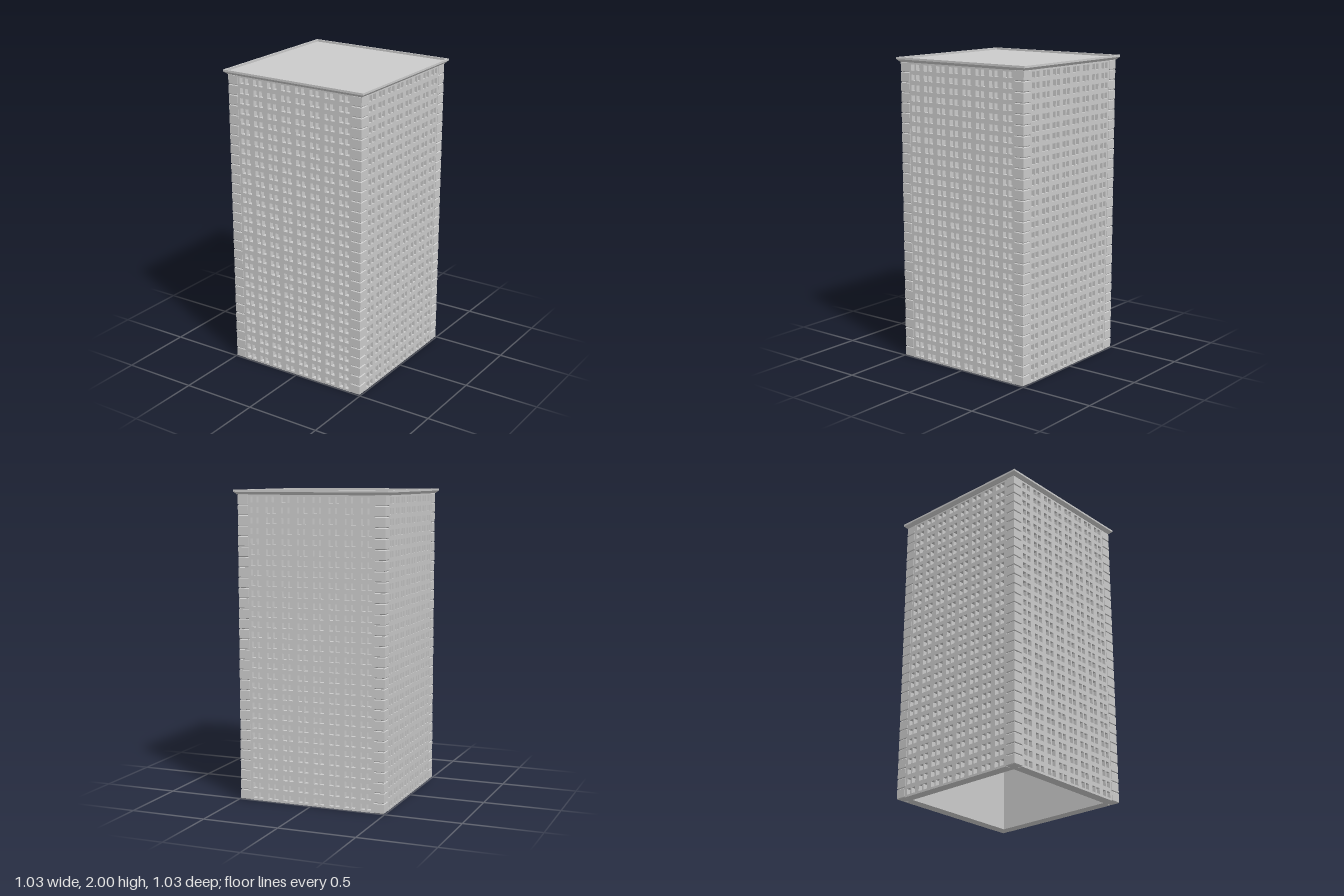
import * as THREE from 'three';
import { mergeGeometries } from 'three/addons/utils/BufferGeometryUtils.js';

const FLOORS = 30, TOP = 1.972, PITCH = TOP / FLOORS;
const OUT = 0.495, POST = 0.07, INNER = OUT - POST, BACK = 0.462;
const BAYS = 8;

const material = new THREE.MeshStandardMaterial({ color: 0xcccccc, flatShading: true, side: THREE.DoubleSide });

function rect(Type, x0, y0, x1, y1) {
  return new Type([[x0, y0], [x1, y0], [x1, y1], [x0, y1]].map(([x, y]) => new THREE.Vector2(x, y)));
}

// Repeats one storey's geometry up the whole height
function stack(geometry) {
  const copies = [];
  for (let i = 0; i < FLOORS; i++) copies.push(geometry.clone().translate(0, i * PITCH, 0));
  return mergeGeometries(copies);
}

// One storey of a facade: paired window openings in a thin panel
function storeyPanel() {
  const shape = rect(THREE.Shape, -INNER, 0, INNER, PITCH);
  const bay = 2 * INNER / BAYS;
  for (let i = 0; i < BAYS; i++) {
    const mid = -INNER + (i + 0.5) * bay;
    for (const s of [-1, 1]) {
      const c = mid + s * 0.021;
      shape.holes.push(rect(THREE.Path, c - 0.015, 0.014, c + 0.015, 0.052));
    }
  }
  const depth = OUT - 0.003 - BACK;
  return new THREE.ExtrudeGeometry(shape, { depth, bevelEnabled: false }).translate(0, 0, BACK);
}

// One corner block, chamfered above and below so the joints read as grooves
function cornerBlock() {
  const b = 0.005, h = POST / 2 - b;
  const geometry = new THREE.ExtrudeGeometry(rect(THREE.Shape, -h, -h, h, h), {
    depth: PITCH - 2 * b, bevelSize: b, bevelThickness: b, bevelSegments: 1,
  });
  const c = OUT - POST / 2;
  return geometry.rotateX(-Math.PI / 2).translate(c, b, c);
}

export function createModel() {
  const model = new THREE.Group();
  const add = (name, geometry, turn = 0) => {
    const mesh = new THREE.Mesh(geometry, material);
    mesh.name = name;
    mesh.rotation.y = turn * Math.PI / 2;
    model.add(mesh);
  };

  // Hollow core: the inside walls and the window backs
  const ring = rect(THREE.Shape, -BACK, -BACK, BACK, BACK);
  ring.holes.push(rect(THREE.Path, -INNER, -INNER, INNER, INNER));
  add('coreWalls', new THREE.ExtrudeGeometry(ring, { depth: TOP, bevelEnabled: false }).rotateX(-Math.PI / 2));

  // Four window facades and four corner piers
  const facade = stack(storeyPanel());
  const pier = stack(cornerBlock());
  ['front', 'left', 'back', 'right'].forEach((side, i) => add(side + 'Facade', facade, i));
  ['frontLeft', 'backLeft', 'backRight', 'frontRight'].forEach((corner, i) => add(corner + 'Pier', pier, i));

  // Roof slab with flared cornice and a low rim
  const profile = [
    [0, 1.97], [0.498, 1.97], [0.504, 1.976], [0.516, 1.987], [0.516, 2],
    [0.506, 2], [0.506, 1.986], [0, 1.986],
  ].map(([r, y]) => new THREE.Vector2(r * Math.SQRT2, y));
  add('roofAndCornice', new THREE.LatheGeometry(profile, 4, Math.PI / 4));

  return model;
}
